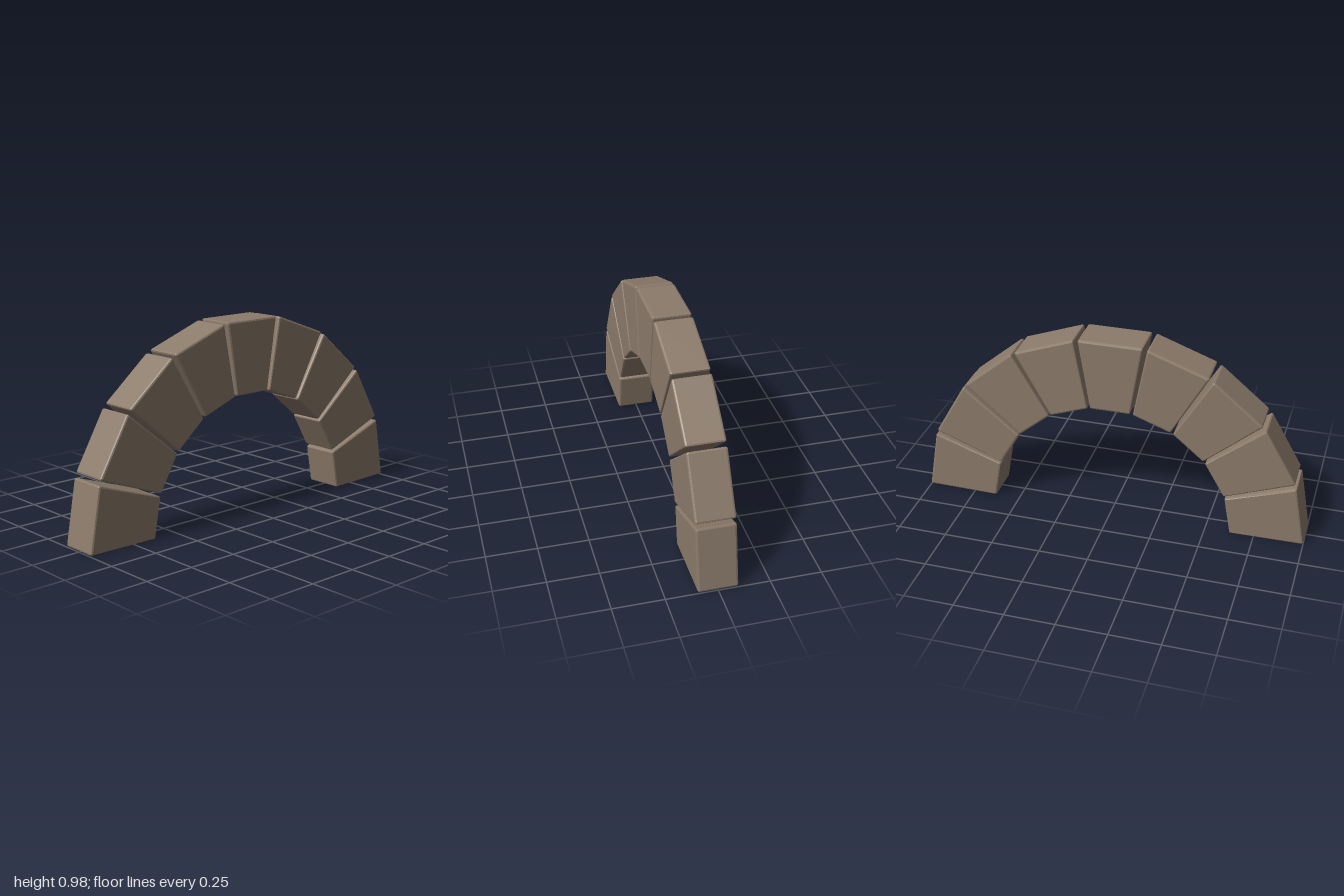
import * as THREE from 'three';
import { RoundedBoxGeometry } from 'three/addons/geometries/RoundedBoxGeometry.js';

const COUNT = 9;
const INNER = 0.618, OUTER = 0.989, DEPTH = 0.195, BEVEL = 0.01;
const HALF_ANGLE = THREE.MathUtils.degToRad(9.4); // just under 10 leaves the joints open

// Softly bevelled block, narrowed towards the arch centre so its sides are radial
function wedgeGeometry() {
  const width = 2 * OUTER * Math.tan(HALF_ANGLE);
  const geometry = new RoundedBoxGeometry(width, OUTER - INNER, DEPTH, 1, BEVEL);
  geometry.translate(0, (INNER + OUTER) / 2, 0);
  const p = geometry.attributes.position;
  for (let i = 0; i < p.count; i++) p.setX(i, p.getX(i) * p.getY(i) / OUTER);
  geometry.computeVertexNormals();
  return geometry;
}

export function createModel() {
  const arch = new THREE.Group();
  arch.name = 'stoneArch';
  const stone = new THREE.MeshStandardMaterial({ color: 0x8c7b6b });
  stone.name = 'brown stone';

  // Nine wedge stones fanned over a half circle
  const geometry = wedgeGeometry();
  const step = Math.PI / COUNT;
  for (let i = 0; i < COUNT; i++) {
    const block = new THREE.Mesh(geometry, stone);
    block.name = i === (COUNT - 1) / 2 ? 'keystone' : `archStone${i + 1}`;
    block.position.y = -0.006;
    block.rotation.z = (i - (COUNT - 1) / 2) * step;
    arch.add(block);
  }
  return arch;
}
